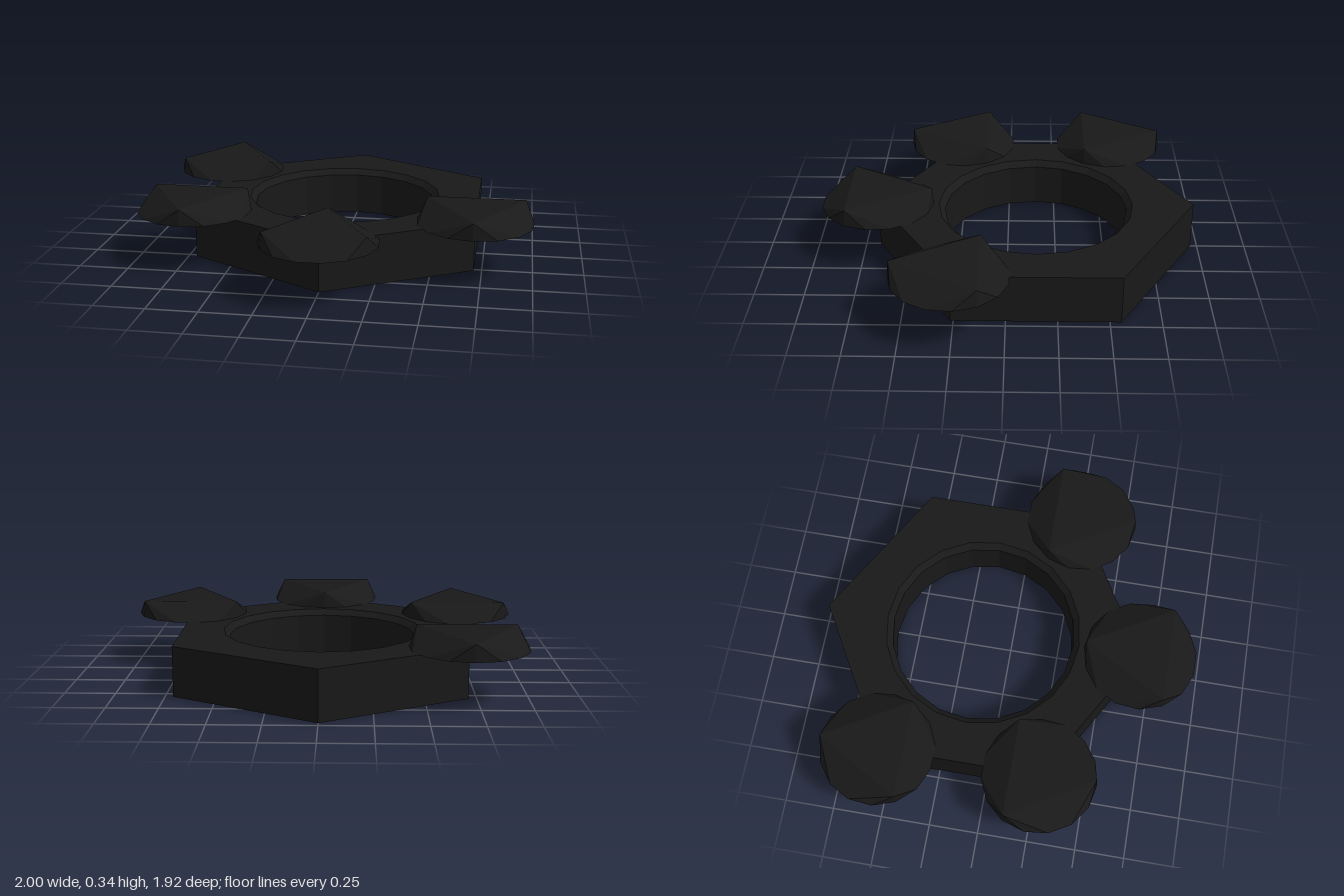
import * as THREE from 'three';
import { ConvexGeometry } from 'three/addons/geometries/ConvexGeometry.js';

const CENTRE_Z = -0.145, HEX_R = 0.82, HEIGHT = 0.25;
const HOLE_R = 0.472, RIM_R = 0.503, CHAMFER = 0.03;

// points of a regular polygon, starting at the given angle
function ngon(sides, r, start = Math.PI / 2) {
  return Array.from({ length: sides }, (_, i) => {
    const a = start + (i / sides) * Math.PI * 2;
    return new THREE.Vector2(r * Math.cos(a), r * Math.sin(a));
  });
}

// hexagonal ring with a 20-sided bore, chamfered at its top rim
function ringGeometry() {
  const shape = new THREE.Shape(ngon(6, HEX_R));
  shape.holes.push(new THREE.Path(ngon(20, HOLE_R)));
  const g = new THREE.ExtrudeGeometry(shape, { depth: HEIGHT, steps: 2, bevelEnabled: false });
  g.rotateX(-Math.PI / 2);
  const p = g.attributes.position;
  for (let i = 0; i < p.count; i++) {
    const x = p.getX(i), y = p.getY(i), z = p.getZ(i);
    if (y > 0.05 && y < HEIGHT - 0.05) p.setY(i, HEIGHT - CHAMFER);
    else if (y > 0.2 && Math.hypot(x, z) < HOLE_R + 0.01) {
      const k = RIM_R / HOLE_R;
      p.setXYZ(i, x * k, y, z * k);
    }
  }
  g.computeVertexNormals();
  return g;
}

// faceted stud: 15-sided base rising to a triangular top, tip towards -z
function studGeometry() {
  const level = (pts, y) => pts.map(v => new THREE.Vector3(v.x, y, v.y));
  return new ConvexGeometry([
    ...level(ngon(15, 0.29, -Math.PI / 2), 0),
    ...level(ngon(3, 0.282, -Math.PI / 2), 0.085),
  ]);
}

export function createModel() {
  const model = new THREE.Group();
  const material = new THREE.MeshStandardMaterial({ color: 0x191919, flatShading: true });

  const ring = new THREE.Mesh(ringGeometry(), material);
  ring.name = 'hexagonalRing';
  ring.position.z = CENTRE_Z;
  model.add(ring);

  // studs on four neighbouring corners, their tips alternating back and front
  const stud = studGeometry();
  for (let i = 0; i < 4; i++) {
    const a = THREE.MathUtils.degToRad(30 + 60 * i);
    const mesh = new THREE.Mesh(stud, material);
    mesh.name = 'cornerStud' + (i + 1);
    mesh.position.set(HEX_R * Math.cos(a), HEIGHT, CENTRE_Z + HEX_R * Math.sin(a));
    mesh.rotation.y = i % 2 === 0 ? Math.PI : 0;
    model.add(mesh);
  }
  return model;
}
